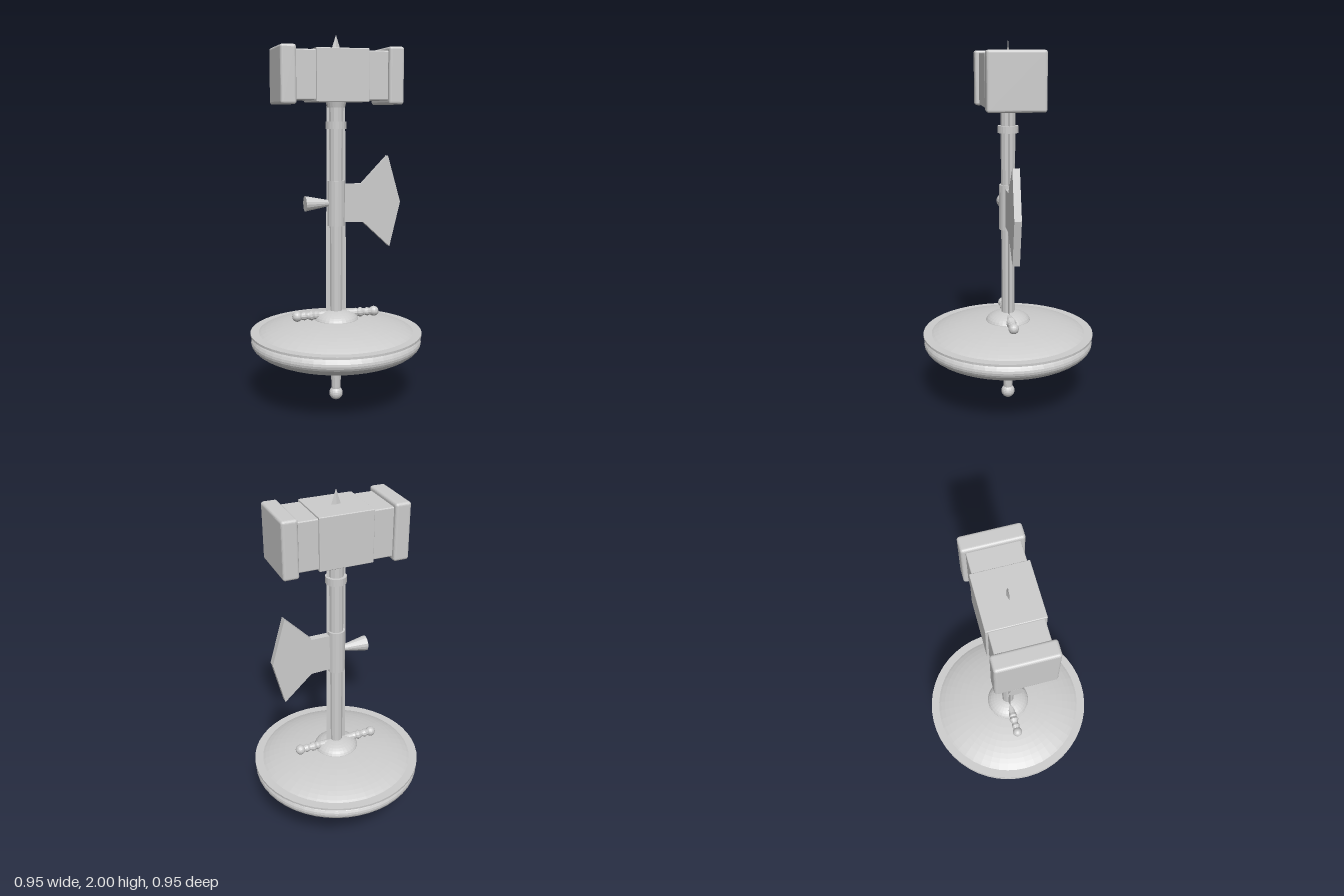
import * as THREE from 'three';
import { RoundedBoxGeometry } from 'three/addons/geometries/RoundedBoxGeometry.js';

const steel = new THREE.MeshStandardMaterial({ color: 0xcccccc, flatShading: true });
steel.name = 'steel';

export function createModel() {
  const model = new THREE.Group();
  model.name = 'weaponStand';

  const group = (name) => {
    const g = new THREE.Group();
    g.name = name;
    model.add(g);
    return g;
  };
  const add = (parent, name, geometry, x = 0, y = 0, z = 0) => {
    const mesh = new THREE.Mesh(geometry, steel);
    mesh.name = name;
    mesh.position.set(x, y, z);
    parent.add(mesh);
    return mesh;
  };
  const lathe = (points, sides) =>
    new THREE.LatheGeometry(points.map(([r, y]) => new THREE.Vector2(r, y)), sides);
  const dome = (r, h, sides, rows) => new THREE.SphereGeometry(1, sides, rows).scale(r, h, r);

  // Shield: a flattened ball with a thin rim and a central boss
  const shield = group('shield');
  add(shield, 'shieldBody', dome(0.47, 0.125, 48, 32), 0, 0.35);
  add(shield, 'shieldRim', lathe([
    [0.42, 0.39], [0.473, 0.39], [0.473, 0.402], [0.42, 0.402], [0.42, 0.39],
  ], 48));
  add(shield, 'shieldBoss', dome(0.125, 0.058, 32, 16), 0, 0.462);

  // Sword: long tapered blade with a diamond section, point at the top
  const sword = group('sword');
  const rows = [[0.3, 0.06, 0.012], [1.75, 0.05, 0.01], [1.92, 0.026, 0.006], [2, 0, 0]];
  const corners = rows.map(([y, w, d]) => [[w, y, 0], [0, y, d], [-w, y, 0], [0, y, -d]]);
  const blade = [];
  for (let r = 0; r < rows.length - 1; r++) {
    for (let i = 0; i < 4; i++) {
      const j = (i + 1) % 4;
      const a = corners[r][i], b = corners[r][j], c = corners[r + 1][j], d = corners[r + 1][i];
      blade.push(...a, ...c, ...b);
      if (r < rows.length - 2) blade.push(...a, ...d, ...c);
    }
  }
  // Reverse each triangle so that the faces point outwards
  for (let i = 0; i < blade.length; i += 9) {
    const second = blade.slice(i + 3, i + 6);
    for (let k = 0; k < 3; k++) {
      blade[i + 3 + k] = blade[i + 6 + k];
      blade[i + 6 + k] = second[k];
    }
  }
  // The corners run clockwise seen from above, so flip once more
  const bladeGeometry = new THREE.BufferGeometry();
  bladeGeometry.setAttribute('position', new THREE.Float32BufferAttribute(blade, 3));
  const index = [];
  for (let i = 0; i < blade.length / 3; i += 3) index.push(i, i + 2, i + 1);
  bladeGeometry.setIndex(index);
  bladeGeometry.computeVertexNormals();
  add(sword, 'swordBlade', bladeGeometry);

  add(sword, 'swordGrip', lathe([
    [0.024, 0.05], [0.026, 0.08], [0.03, 0.17], [0.036, 0.18], [0.036, 0.2], [0.031, 0.21], [0.034, 0.48],
  ], 12));
  add(sword, 'swordPommel', new THREE.SphereGeometry(0.038, 16, 12), 0, 0.038);

  // Guard arms, mirrored
  for (const side of [-1, 1]) {
    const arm = add(sword, 'swordGuardArm', lathe([
      [0.02, 0], [0.02, 0.1], [0.025, 0.115], [0.02, 0.125], [0.028, 0.14],
      [0.02, 0.157], [0.018, 0.165], [0.024, 0.18], [0.018, 0.2],
    ], 12), 0, 0.495);
    arm.rotation.z = -side * Math.PI / 2;
    add(sword, 'swordGuardBall', new THREE.SphereGeometry(0.028, 16, 12), side * 0.22, 0.495);
  }

  // Hammer: handle, collars and a block head with rounded striking caps
  const hammer = group('hammer');
  add(hammer, 'hammerHandle', new THREE.CylinderGeometry(0.04, 0.035, 1.25, 12), 0, 1.035);
  add(hammer, 'hammerLowerCollar', new THREE.CylinderGeometry(0.055, 0.055, 0.038, 20), 0, 1.53);
  add(hammer, 'hammerUpperCollar', new THREE.CylinderGeometry(0.055, 0.048, 0.03, 20), 0, 1.638);
  add(hammer, 'hammerCentre', new RoundedBoxGeometry(0.284, 0.272, 0.274, 2, 0.004), 0, 1.787);
  add(hammer, 'hammerCore', new RoundedBoxGeometry(0.54, 0.254, 0.252, 2, 0.006), 0, 1.787);
  for (const side of [-1, 1]) {
    add(hammer, 'hammerCap', new RoundedBoxGeometry(0.083, 0.297, 0.297, 3, 0.014), side * 0.288, 1.787);
  }

  // Axe: socket, flared blade and a trumpet-shaped back spike
  const axe = group('axe');
  add(axe, 'axeSocket', new THREE.CylinderGeometry(0.048, 0.048, 0.245, 16), 0, 1.112);
  const outline = new THREE.Shape([
    [0, 1.01], [0.15, 1.005], [0.303, 0.863], [0.363, 1.11],
    [0.29, 1.365], [0.145, 1.215], [0, 1.215],
  ].map(([x, y]) => new THREE.Vector2(x, y)));
  add(axe, 'axeBlade', new THREE.ExtrudeGeometry(outline, { depth: 0.038, bevelEnabled: false }), 0, 0, -0.019);
  const spike = add(axe, 'axeBackSpike', new THREE.CylinderGeometry(0.042, 0.014, 0.145, 16), -0.1, 1.113);
  spike.rotation.z = Math.PI / 2;

  return model;
}
